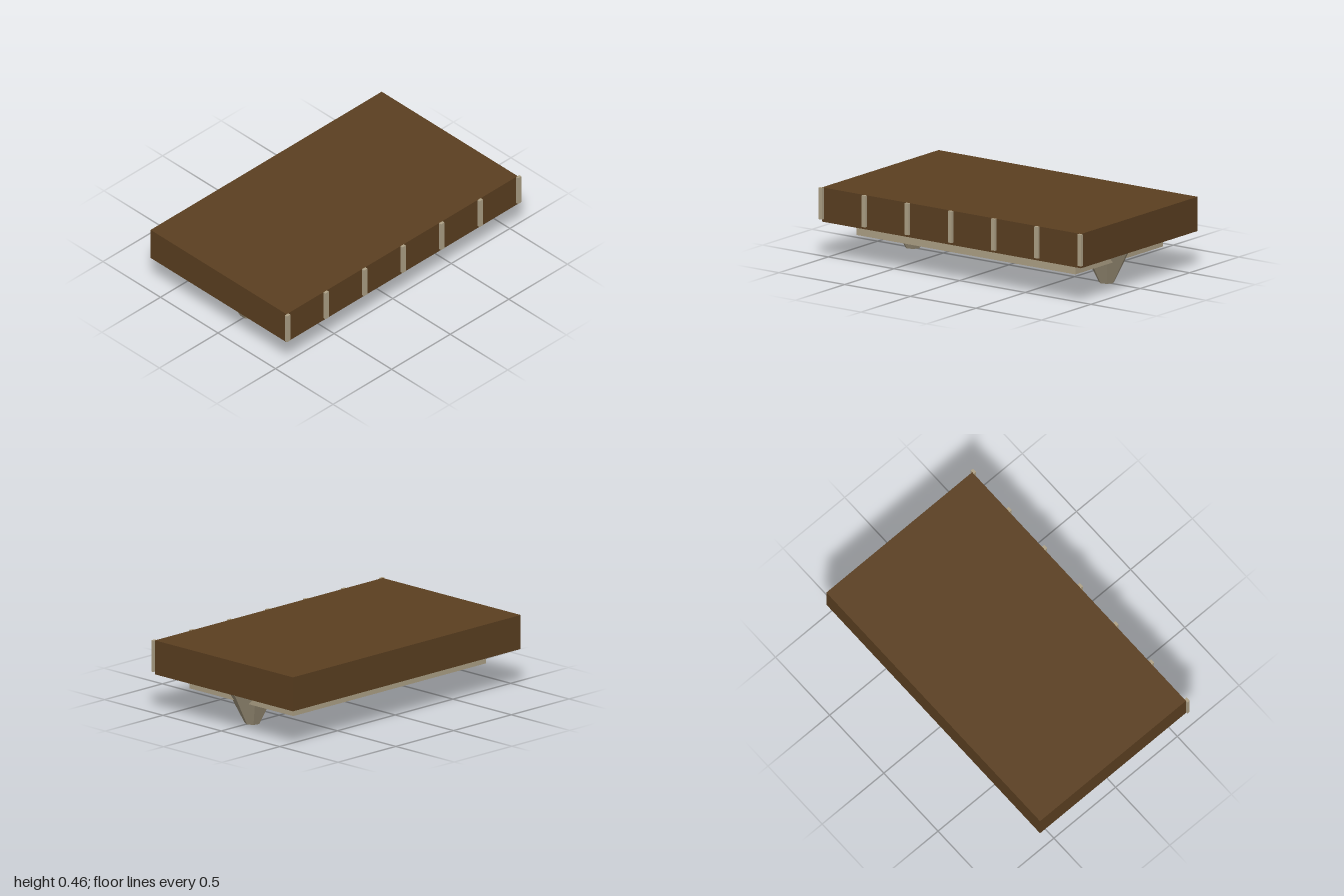
import * as THREE from 'three';

export function createModel() {
  const group = new THREE.Group();
  const brown = new THREE.MeshStandardMaterial({ color: 0x5c4021 });
  brown.name = 'dark brown';
  const tan = new THREE.MeshStandardMaterial({ color: 0xb0a388 });
  tan.name = 'tan';

  const add = (name, geometry, material) => {
    const mesh = new THREE.Mesh(geometry, material);
    mesh.name = name;
    group.add(mesh);
    return mesh;
  };

  // Box given by its lowest and highest corner
  const box = (name, material, [x0, y0, z0], [x1, y1, z1]) => {
    const mesh = add(name, new THREE.BoxGeometry(x1 - x0, y1 - y0, z1 - z0), material);
    mesh.position.set((x0 + x1) / 2, (y0 + y1) / 2, (z0 + z1) / 2);
  };

  // Main slab and the recessed plinth below it
  box('slab', brown, [-0.986, 0.24, -0.6], [0.986, 0.455, 0.582]);
  box('plinth', tan, [-0.834, 0.15, -0.452], [0.834, 0.24, 0.436]);

  // Upright battens along the front face
  for (let i = 0; i < 7; i++) {
    const x = -0.986 + (i * 1.972) / 6;
    box('frontBatten', tan, [x - 0.014, 0.257, 0.582], [x + 0.014, 0.455, 0.6]);
  }

  // Tapered seven-sided feet, one corner pointing to +x, reaching into the plinth
  const footGeometry = new THREE.CylinderGeometry(0.152, 0.048, 0.2, 7, 1, false, Math.PI / 2)
    .toNonIndexed();
  footGeometry.computeVertexNormals();
  for (const side of [-1, 1]) {
    const foot = add(side > 0 ? 'leftFoot' : 'rightFoot', footGeometry, tan);
    foot.position.set(side * 0.738, 0.1, -0.008);
  }

  return group;
}
